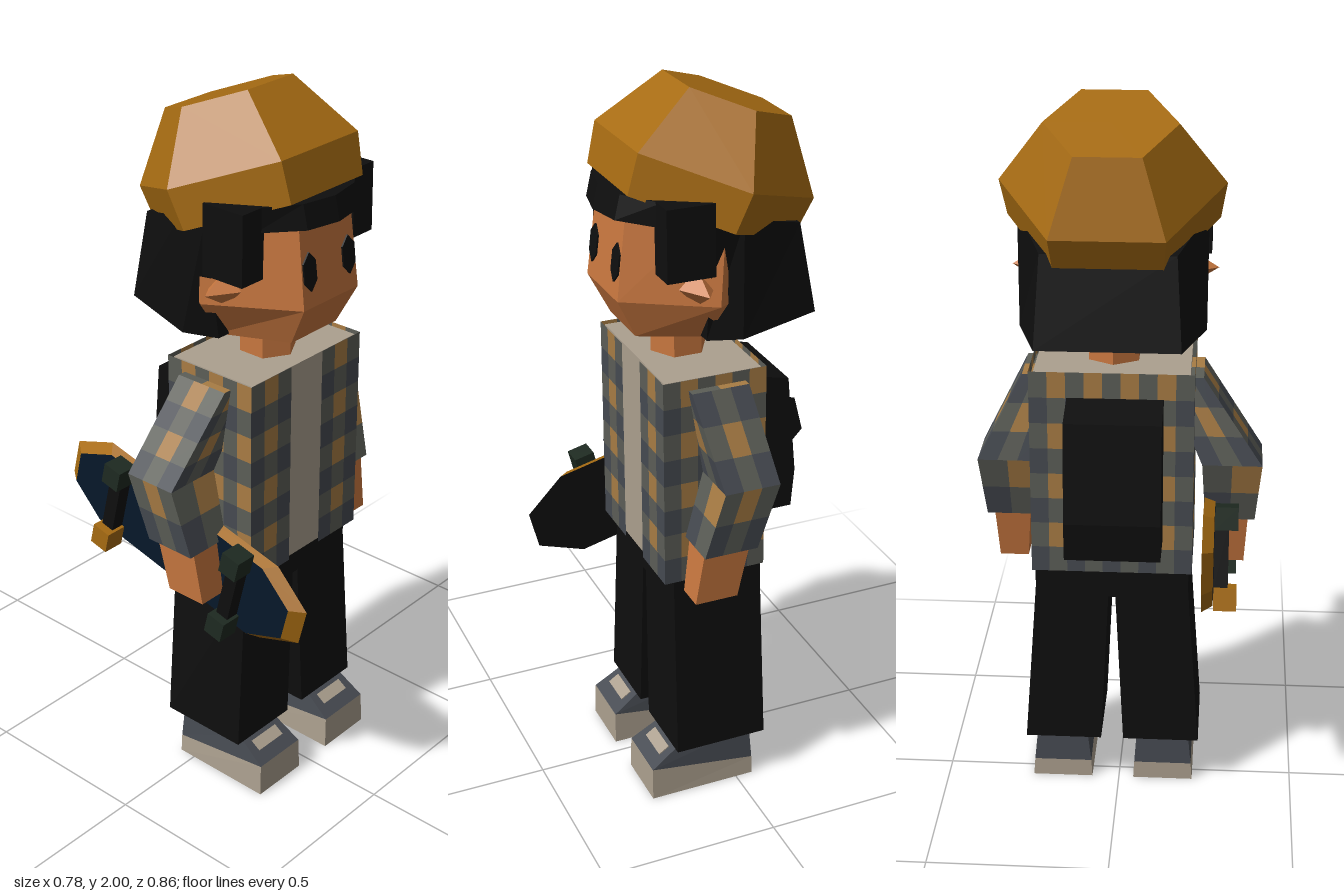
import * as THREE from 'three';

const mat = (name, color) => {
  const m = new THREE.MeshStandardMaterial({ color, side: THREE.DoubleSide, flatShading: true });
  m.name = name;
  return m;
};
const M = {
  ochre: mat('ochre', 0xa66b12), black: mat('black', 0x0e0e0e), skin: mat('skin', 0xc8773f),
  cream: mat('cream', 0xaca08f), grey: mat('plaid grey', 0x5c5e57), tan: mat('plaid tan', 0xa87c44),
  slate: mat('slate', 0x464a51), green: mat('wheel green', 0x1e2a21), navy: mat('board navy', 0x07182a),
};

// Mesh from convex polygons, one list of polygons per material
function polyMesh(name, lists, mats) {
  const pos = [], geo = new THREE.BufferGeometry();
  lists.forEach((polys, k) => {
    const start = pos.length / 3;
    for (const p of polys)
      for (let i = 1; i < p.length - 1; i++) pos.push(...p[0], ...p[i], ...p[i + 1]);
    geo.addGroup(start, pos.length / 3 - start, k);
  });
  geo.setAttribute('position', new THREE.Float32BufferAttribute(pos, 3));
  geo.computeVertexNormals();
  const mesh = new THREE.Mesh(geo, mats);
  mesh.name = name;
  return mesh;
}

// Side quads between successive rings
function sides(rings) {
  const out = [];
  for (let i = 0; i < rings.length - 1; i++)
    rings[i].forEach((a, j) => {
      const k = (j + 1) % rings[i].length;
      out.push([a, rings[i][k], rings[i + 1][k], rings[i + 1][j]]);
    });
  return out;
}

const loft = (name, rings, side, bottom = side, top = side) =>
  polyMesh(name, [sides(rings), [[...rings[0]].reverse()], [rings[rings.length - 1]]], [side, bottom, top]);

// Quads divided into a checked cloth pattern
function plaid(name, quads, cu = 0.05, cv = 0.075) {
  const lists = [[], [], []], v = (p) => new THREE.Vector3(...p);
  for (const [a, b, c, d] of quads.map((q) => q.map(v))) {
    const nu = Math.max(1, Math.round(a.distanceTo(b) / cu));
    const nv = Math.max(1, Math.round(a.distanceTo(d) / cv));
    const at = (i, j) => a.clone().lerp(b, i / nu).lerp(d.clone().lerp(c, i / nu), j / nv).toArray();
    for (let i = 0; i < nu; i++)
      for (let j = 0; j < nv; j++) {
        const k = i % 2 && j % 2 ? 1 : i % 2 || j % 2 ? 0 : 2;
        lists[k].push([at(i, j), at(i + 1, j), at(i + 1, j + 1), at(i, j + 1)]);
      }
  }
  return polyMesh(name, lists, [M.grey, M.tan, M.slate]);
}

const rect = (y, x0, x1, z0, z1) => [[x0, y, z1], [x1, y, z1], [x1, y, z0], [x0, y, z0]];
const hex = (y, w, f, zf, zs, zb) =>
  [[-f, y, zf], [f, y, zf], [w, y, zs], [f, y, zb], [-f, y, zb], [-w, y, zs]];
const mirror = (rings, s, dx = 0) =>
  rings.map((r) => {
    const m = r.map(([x, y, z]) => [s * (x + dx), y, z]);
    return s > 0 ? m : m.reverse();
  });

function solid(name, geo, m, x, y, z) {
  const mesh = new THREE.Mesh(geo, m);
  mesh.name = name;
  mesh.position.set(x, y, z);
  return mesh;
}

function makeHead() {
  const g = new THREE.Group();
  g.name = 'head';
  g.add(loft('face', [
    hex(1.365, 0.172, 0.09, 0.23, 0.05, -0.12),
    hex(1.475, 0.245, 0.108, 0.285, 0.06, -0.17),
    hex(1.76, 0.235, 0.1, 0.25, 0.04, -0.17)], M.skin));
  g.add(solid('neck', new THREE.CylinderGeometry(0.078, 0.078, 0.16, 6), M.skin, 0, 1.31, 0.075));

  // Hair at the back, fringe and side locks
  g.add(loft('backHair', [
    [[-0.2, 1.37, 0.08], [0.2, 1.37, 0.08], [0.25, 1.38, 0], [0.19, 1.395, -0.232], [-0.19, 1.395, -0.232], [-0.25, 1.38, 0]],
    [[-0.25, 1.7, 0.08], [0.25, 1.7, 0.08], [0.25, 1.7, 0], [0.175, 1.64, -0.19], [-0.175, 1.64, -0.19], [-0.25, 1.7, 0]],
  ], M.black));
  const fringe = (y, d) => [[-0.2, y, 0.2], [-0.1, y, 0.27 + d], [0, y, 0.29 + d],
    [0.1, y, 0.27 + d], [0.2, y, 0.2], [0.2, y, 0.06], [-0.2, y, 0.06]];
  g.add(loft('fringe', [fringe(1.69, 0.015), fringe(1.755, 0)], M.black));
  for (const s of [1, -1]) {
    g.add(loft('sideLock', mirror([
      rect(1.565, 0.18, 0.258, 0.08, 0.21), rect(1.755, 0.175, 0.255, 0.08, 0.21)], s), M.black));
    const ear = solid('ear', new THREE.ConeGeometry(0.05, 0.08, 4), M.skin, s * 0.238, 1.52, 0.105);
    ear.rotation.z = -s * Math.PI / 2;
    g.add(ear);
    const eye = solid('eye', new THREE.CylinderGeometry(0.052, 0.052, 0.008, 6), M.black, s * 0.077, 1.57, 0.274);
    eye.scale.x = 0.53;
    eye.rotation.x = Math.PI / 2 - 0.122;
    g.add(eye);
  }

  // Six-sided cap tilted backwards
  const profile = [[0, 0], [0.28, 0], [0.296, 0.11], [0.173, 0.287], [0, 0.287]].map((p) => new THREE.Vector2(...p));
  const cap = solid('cap', new THREE.LatheGeometry(profile, 6, Math.PI / 6), M.ochre, 0, 1.677, 0.038);
  cap.rotation.x = -0.36;
  g.add(cap);
  return g;
}

function makeTorso() {
  const g = new THREE.Group();
  g.name = 'torso';
  g.add(loft('shirt', [rect(0.695, -0.21, 0.21, -0.07, 0.202), rect(1.275, -0.21, 0.21, -0.07, 0.202)], M.cream));
  // Open jacket
  const [a, b, c, d] = rect(0.69, -0.222, 0.222, -0.08, 0.21);
  const e = [-0.063, 0.69, 0.21], f = [0.063, 0.69, 0.21];
  const up = ([x, , z]) => [x, 1.28, z];
  const wall = (p, q) => [p, q, up(q), up(p)];
  g.add(plaid('jacket', [wall(a, e), wall(f, b), wall(b, c), wall(c, d), wall(d, a)]));
  g.add(loft('backpack', [rect(0.79, -0.14, 0.12, -0.21, -0.07), rect(0.9, -0.14, 0.12, -0.22, -0.07),
    [[-0.14, 1.21, -0.07], [0.12, 1.21, -0.07], [0.12, 1.18, -0.195], [-0.14, 1.18, -0.195]]], M.black));
  for (const s of [1, -1]) {
    const dx = s < 0 ? 0.04 : 0;
    const sleeve = mirror([rect(0.825, 0.215, 0.352, 0.0, 0.15), rect(1.01, 0.205, 0.368, -0.055, 0.1)], s, dx);
    sleeve.push(mirror([rect(1.25, 0.14, 0.245, -0.02, 0.14)], s)[0]);
    g.add(plaid('sleeve', [...sides(sleeve), sleeve[2], [...sleeve[0]].reverse()], 0.055, 0.08));
    g.add(loft('hand', mirror([rect(0.675, 0.245, 0.325, 0.045, 0.165), rect(0.85, 0.232, 0.335, 0.01, 0.14)], s, dx), M.skin));
  }
  return g;
}

function makeLegs() {
  const g = new THREE.Group();
  g.name = 'legs';
  g.add(loft('waist', [rect(0.61, -0.212, 0.212, -0.075, 0.18), rect(0.73, -0.214, 0.214, -0.075, 0.18)], M.black));
  for (const s of [1, -1]) {
    g.add(loft('trouserLeg', mirror([rect(0.15, 0.032, 0.248, -0.078, 0.187), rect(0.65, 0.008, 0.212, -0.075, 0.18)], s), M.black));
    // Sole, upper and lace strip
    const seam = [[0.063, 0.095, 0.255], [0.228, 0.095, 0.255], [0.228, 0.053, -0.05], [0.063, 0.053, -0.05]];
    g.add(loft('sole', mirror([rect(0, 0.06, 0.232, -0.05, 0.257), seam], s), M.cream));
    g.add(loft('shoeUpper', mirror([seam, rect(0.155, 0.075, 0.218, -0.045, 0.165)], s), M.slate));
    const lace = solid('laces', new THREE.BoxGeometry(0.1, 0.006, 0.035), M.cream, s * 0.146, 0.127, 0.207);
    lace.rotation.x = 0.588;
    g.add(lace);
  }
  return g;
}

function makeBoard() {
  const g = new THREE.Group();
  g.name = 'skateboard';
  const outline = [[-0.43, -0.055], [-0.43, 0.055], [-0.31, 0.13], [0.31, 0.13],
    [0.43, 0.055], [0.43, -0.055], [0.31, -0.13], [-0.31, -0.13]];
  const ring = (x, k) => outline.map(([u, v]) => [x, v * k, u * k]);
  g.add(loft('deck', [ring(-0.265, 0.91), ring(-0.235, 1)], M.ochre, M.navy, M.black));
  for (const u of [0.22, -0.22]) {
    g.add(solid('axle', new THREE.BoxGeometry(0.04, 0.2, 0.04), M.black, -0.284, 0, u));
    for (const v of [0.11, -0.11])
      g.add(solid('wheel', new THREE.BoxGeometry(0.062, 0.062, 0.058), u < 0 && v < 0 ? M.ochre : M.green, -0.297, v, u));
  }
  g.position.set(-0.018, 0.76, 0);
  g.rotation.x = 0.245;
  return g;
}

export function createModel() {
  const model = new THREE.Group();
  model.name = 'skater';
  const body = new THREE.Group();
  body.name = 'body';
  body.position.x = 0.018;
  body.add(makeHead(), makeTorso(), makeLegs(), makeBoard());
  model.add(body);
  return model;
}
